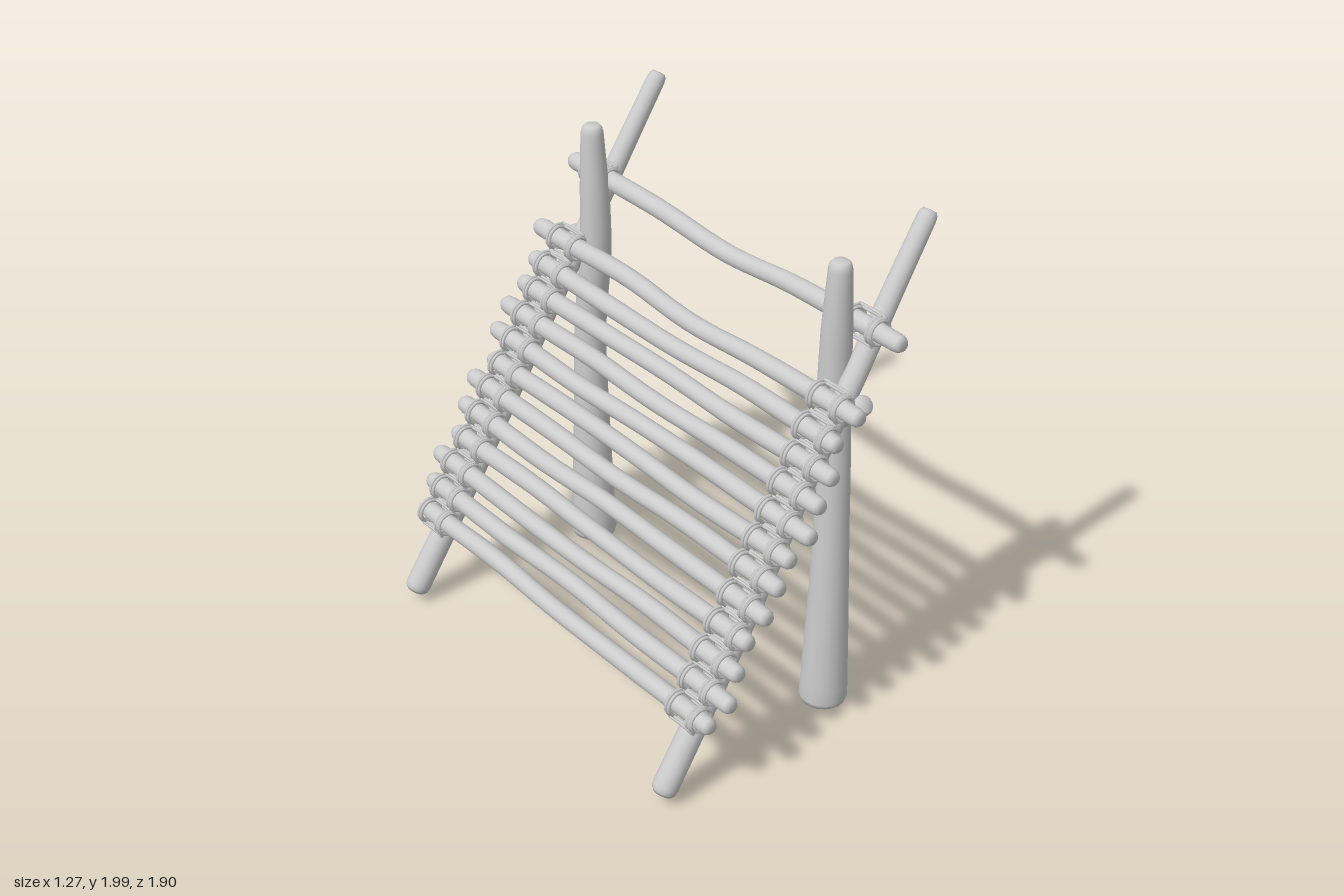
import * as THREE from 'three';
import { mergeVertices } from 'three/addons/utils/BufferGeometryUtils.js';

const material = new THREE.MeshStandardMaterial({ color: 0xcccccc });
const V = (x, y, z) => new THREE.Vector3(x, y, z);

// Tapered branch along a curve; radii are spread evenly and both ends are rounded off.
function limb(name, points, radii, body = 24, sides = 16) {
  const curve = new THREE.CatmullRomCurve3(points);
  const length = curve.getLength();
  const ends = [[0, 0], [0, 0.7], [0.012, 0.92], [0.032, 1]]; // distance from tip, radius factor
  const a = ends[3][0] / length;
  const rings = ends.map(([d, f]) => [d / length, f]);
  for (let i = 1; i < body; i++) rings.push([a + (1 - 2 * a) * i / body, 1]);
  for (const [d, f] of [...ends].reverse()) rings.push([1 - d / length, f]);

  const n = rings.length - 1;
  const geo = new THREE.TubeGeometry(curve, n, 1, sides);
  const pos = geo.attributes.position;
  const dir = V(0, 0, 0);
  rings.forEach(([u, f], i) => {
    const k = u * (radii.length - 1);
    const j = Math.min(Math.floor(k), radii.length - 2);
    const r = f * THREE.MathUtils.lerp(radii[j], radii[j + 1], k - j);
    const from = curve.getPointAt(i / n), to = curve.getPointAt(u);
    for (let s = 0; s <= sides; s++) {
      const id = i * (sides + 1) + s;
      dir.fromBufferAttribute(pos, id).sub(from).multiplyScalar(r).add(to);
      pos.setXYZ(id, dir.x, dir.y, dir.z);
    }
  });
  geo.deleteAttribute('normal');
  geo.deleteAttribute('uv');
  const merged = mergeVertices(geo, 1e-5);
  merged.computeVertexNormals();
  const mesh = new THREE.Mesh(merged, material);
  mesh.name = name;
  return mesh;
}

// Leaning pole: a point on its axis at a given height.
const along = V(1.215, 1.93, 0).normalize();
const outward = V(-along.y, along.x, 0);
const poleX = y => -0.605 + (y - 0.045) * 1.215 / 1.93;
const poleZ = (y, side) => side * (0.79 - 0.024 * y);

// Cord that crosses over the rung on both sides of the pole and under the pole above and below the rung.
function lashing(x, y, side, rungR) {
  const group = new THREE.Group();
  group.name = 'lashing';
  const z = poleZ(y, side);
  const depth = (x - poleX(y)) * outward.x * outward.x + 0.048;
  for (const k of [0, 1]) {
    const g = k * 0.016;
    const r = rungR + 0.012, w = 0.05 + g, s = r + g * 0.5;
    // quarter of the path as [along pole, away from pole, along rung], then mirrored
    const path = [];
    const corners = [[1, 1], [-1, 1], [-1, -1], [1, -1]];
    for (const [i, [a, b]] of corners.entries()) {
      const leg = [
        [0, r, b * w], [a * r * 0.72, r * 0.72, b * w], [a * s, -0.005, b * w],
        [a * s, -depth * 0.65, b * w], [a * s, -depth - 0.006, b * 0.03],
      ];
      if (i % 2 === 0) leg.reverse();
      if (i % 2 === 1) leg.shift(); // shared top point
      path.push(...leg);
    }
    const pts = path.map(([a, o, c]) =>
      V(x, y, z + c).addScaledVector(along, a).addScaledVector(outward, o));
    const cord = new THREE.Mesh(
      new THREE.TubeGeometry(new THREE.CatmullRomCurve3(pts, true), 64, 0.0065, 6, true), material);
    cord.name = 'cord';
    group.add(cord);
    // full turns around the rung
    for (const b of [-1, 1]) {
      const ring = new THREE.Mesh(new THREE.TorusGeometry(rungR + 0.009, 0.0065, 6, 24), material);
      ring.name = 'cordRing';
      ring.position.set(x, y, z + b * (w + 0.004));
      group.add(ring);
    }
  }
  return group;
}

export function createModel() {
  const root = new THREE.Group();
  root.name = 'dryingRack';

  // Leaning side poles
  for (const side of [1, -1]) {
    const pts = [0.045, 0.6, 1.1, 1.4, 1.7, 1.975].map((y, i) =>
      V(poleX(y), y, poleZ(y, side) + [0, 0.006, -0.004, 0.004, 0, 0][i]));
    root.add(limb(side > 0 ? 'leftPole' : 'rightPole', pts, [0.05, 0.047, 0.044, 0.042, 0.036], 30));
  }

  // Upright posts, each with a short fork that carries a pole
  const postR = [0.094, 0.084, 0.074, 0.066, 0.063, 0.062, 0.057, 0.042];
  const posts = {
    left: [[0.25, 0, 0.7], [0.25, 0.5, 0.705], [0.255, 1.0, 0.695], [0.26, 1.35, 0.675], [0.25, 1.875, 0.69]],
    right: [[0.25, 0, -0.725], [0.25, 0.5, -0.73], [0.255, 1.0, -0.735], [0.26, 1.35, -0.7], [0.25, 1.875, -0.7]],
  };
  for (const [name, p] of Object.entries(posts)) {
    root.add(limb(name + 'Post', p.map(q => V(...q)), postR, 30, 20));
    const s = name === 'left' ? 1 : -1, z = p[3][2];
    root.add(limb(name + 'Fork', [
      V(0.255, 1.24, z), V(0.258, 1.3, z + s * 0.07), V(0.262, 1.37, z + s * 0.165),
    ], [0.055, 0.046, 0.038], 8));
  }

  // Rungs: x, y, left end, right end, sag in the middle
  const rungs = [
    [-0.48, 0.355, 0.91, 0.86, 0], [-0.42, 0.445, 0.95, 0.91, 0], [-0.365, 0.54, 0.925, 0.935, 0],
    [-0.3, 0.63, 0.9, 0.895, 0], [-0.24, 0.725, 0.925, 0.93, 0], [-0.185, 0.825, 0.925, 0.94, 0],
    [-0.125, 0.91, 0.91, 0.88, 0], [-0.065, 1.0, 0.945, 0.94, 0], [-0.01, 1.095, 0.925, 0.94, 0],
    [0.05, 1.185, 0.92, 0.905, 0.003], [0.1, 1.28, 0.88, 0.895, 0.008], [0.165, 1.38, 0.915, 0.945, 0.018],
    [0.325, 1.625, 0.935, 0.925, 0.036],
  ];
  rungs.forEach(([x, y, left, right, sag], i) => {
    const wob = k => 0.006 * Math.sin(i * 2.3 + k * 1.9);
    const pts = [left, 0.75, 0.38, 0, -0.38, -0.75, -right].map((z, k) => {
      const inner = k > 1 && k < 5;
      return V(x + (inner ? wob(k) : 0), y + (inner ? wob(k + 3) * 0.6 : 0) - (k === 3 ? sag : 0), z);
    });
    root.add(limb(i === 12 ? 'topRail' : 'rung', pts, [0.034, 0.037, 0.035, 0.036, 0.038, 0.036], 28));
    for (const side of [1, -1]) root.add(lashing(x, y, side, 0.037));
  });
  return root;
}
